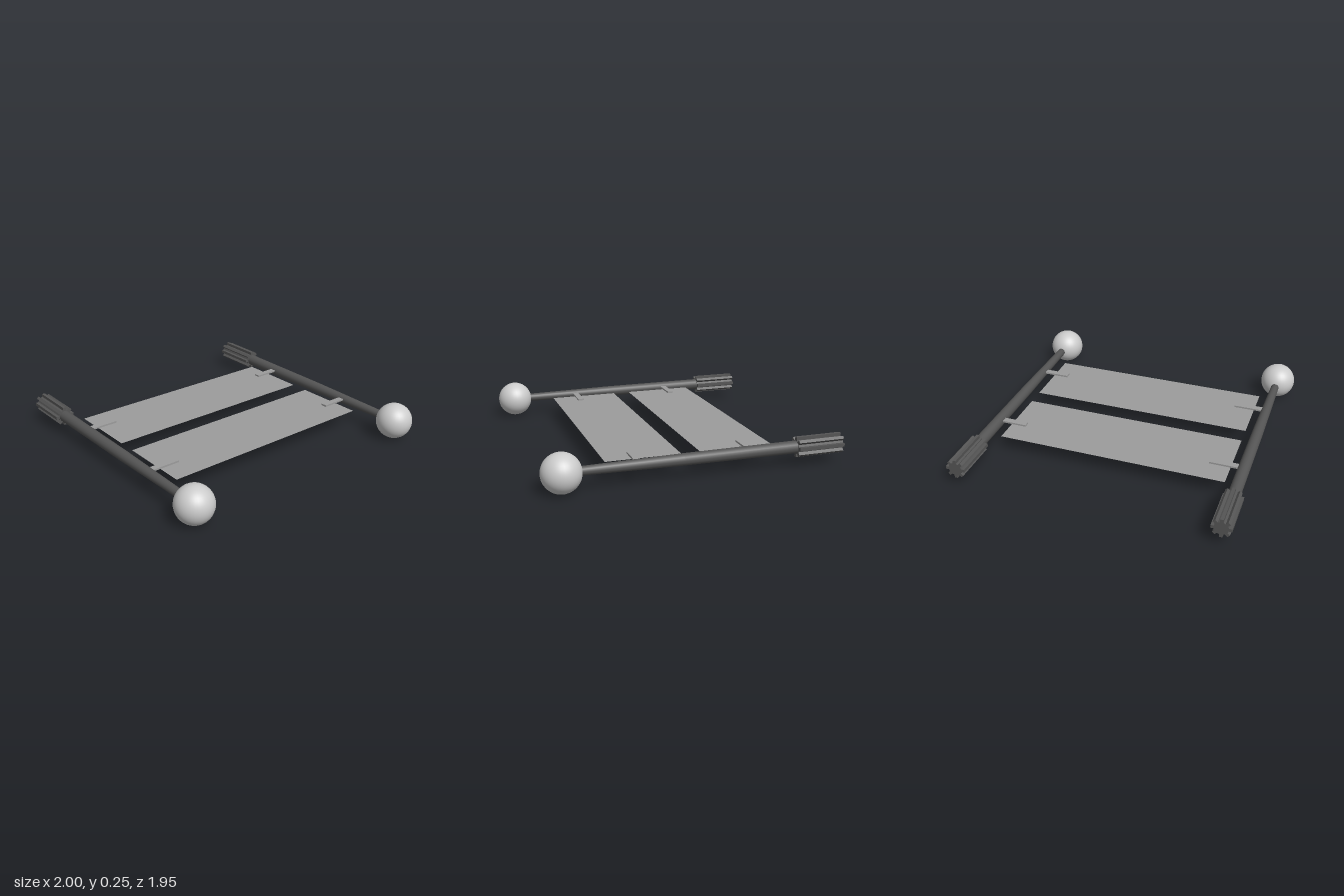
import * as THREE from 'three';

const Y = 0.124, RAIL_X = 0.877;

function mat(color, extra = {}) {
  return new THREE.MeshStandardMaterial({ color, ...extra });
}

function add(parent, name, geometry, material, x = 0, y = 0, z = 0) {
  const mesh = new THREE.Mesh(geometry, material);
  mesh.name = name;
  mesh.position.set(x, y, z);
  parent.add(mesh);
  return mesh;
}

// Splined cross-section with evenly spaced teeth
function splineShape(teeth, inner, outer) {
  const points = [];
  const step = (Math.PI * 2) / teeth;
  for (let i = 0; i < teeth; i++) {
    for (const [offset, r] of [[-0.3, inner], [-0.2, outer], [0.2, outer], [0.3, inner]]) {
      const a = (i + offset) * step;
      points.push(new THREE.Vector2(Math.cos(a) * r, Math.sin(a) * r));
    }
  }
  return new THREE.Shape(points);
}

export function createModel() {
  const model = new THREE.Group();
  model.name = 'ladderFrame';
  const light = mat(0xcccccc);
  const dark = mat(0x555555);
  const darkFlat = mat(0x555555, { flatShading: true });
  const panelMat = mat(0x9c9c9c, { side: THREE.DoubleSide });
  const pegMat = mat(0x9c9c9c);

  // Tapered shaft, thin at the ball end
  const profile = [[0, -0.7], [0.041, -0.7], [0.038, 0.1], [0.028, 0.745], [0, 0.745]]
    .map(([r, z]) => new THREE.Vector2(r, z));
  const shaftGeo = new THREE.LatheGeometry(profile, 20).rotateX(Math.PI / 2);
  const gripGeo = new THREE.ExtrudeGeometry(splineShape(8, 0.046, 0.067), {
    depth: 0.316, bevelEnabled: false,
  });
  const ballGeo = new THREE.SphereGeometry(0.124, 32, 24);

  // Two rails, each with a front ball and a splined rear grip
  for (const [side, s] of [['left', 1], ['right', -1]]) {
    const rail = new THREE.Group();
    rail.name = side + 'Rail';
    rail.position.set(s * RAIL_X, Y, 0);
    add(rail, 'shaft', shaftGeo, dark);
    add(rail, 'grip', gripGeo, darkFlat, 0, 0, -0.975);
    add(rail, 'ball', ballGeo, light, 0, 0, 0.85);
    model.add(rail);
  }

  // Flat panels, each hung from a peg on either rail
  const panelGeo = new THREE.PlaneGeometry(1.566, 0.489).rotateX(-Math.PI / 2);
  const pegGeo = new THREE.BoxGeometry(0.21, 0.012, 0.043);
  for (const [name, panelZ, pegZ] of [['front', 0.319, 0.375], ['rear', -0.294, -0.358]]) {
    add(model, name + 'Panel', panelGeo, panelMat, -0.01, Y, panelZ);
    add(model, name + 'LeftPeg', pegGeo, pegMat, 0.771, Y + 0.008, pegZ);
    add(model, name + 'RightPeg', pegGeo, pegMat, -0.756, Y + 0.008, pegZ);
  }
  return model;
}
